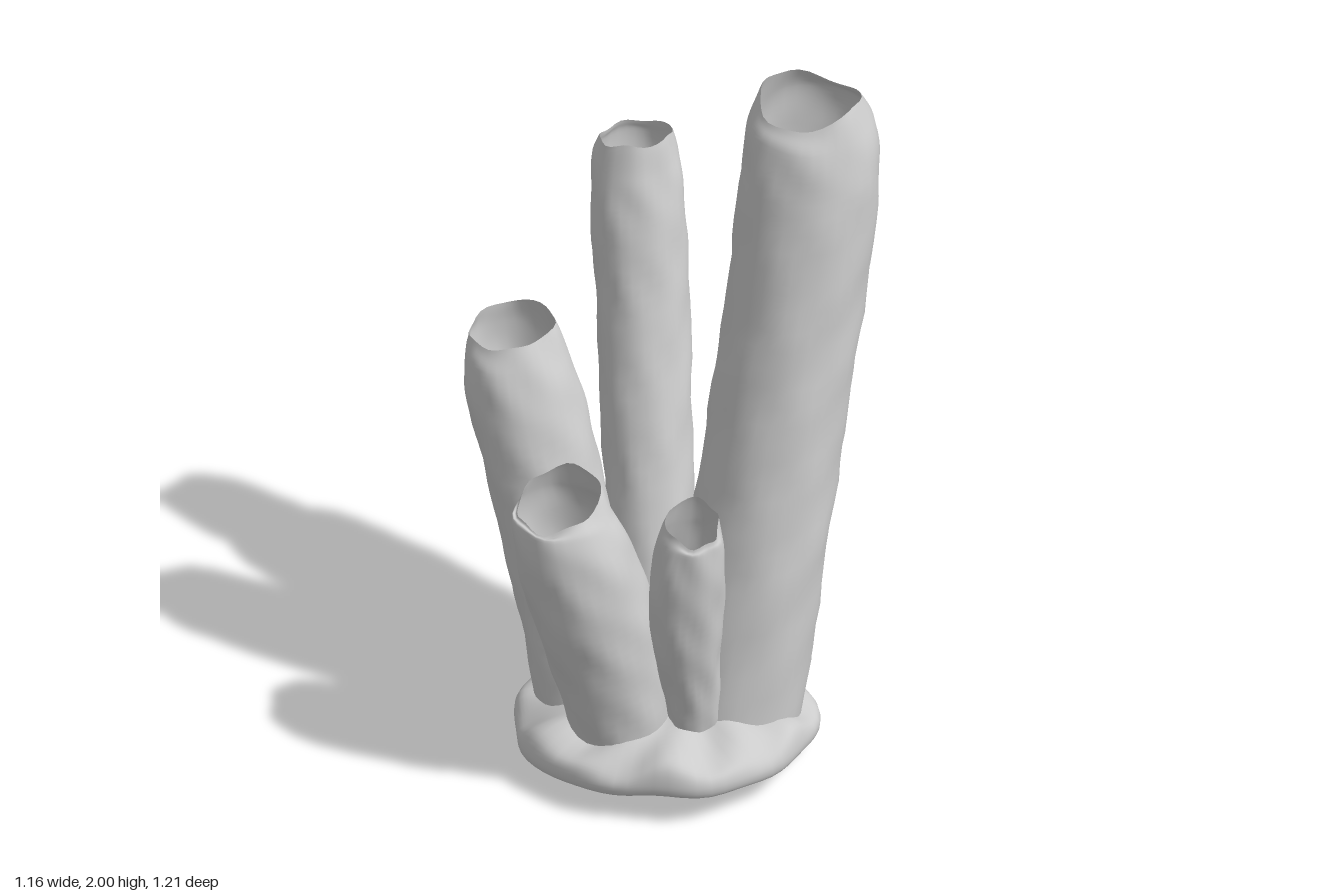
import * as THREE from 'three';

const material = new THREE.MeshStandardMaterial({ color: 0xcccccc, side: THREE.DoubleSide });

// Closed-around surface: point(ring, angle) returns [x, y, z]; rings run from bottom to top.
function ringSurface(name, rings, sides, point) {
  const positions = [], index = [];
  for (let i = 0; i < rings; i++) {
    for (let j = 0; j < sides; j++) {
      positions.push(...point(i, (j / sides) * Math.PI * 2));
      if (i === rings - 1) continue;
      const a = i * sides + j, b = i * sides + ((j + 1) % sides);
      index.push(a, a + sides, b, b, a + sides, b + sides);
    }
  }
  const geometry = new THREE.BufferGeometry();
  geometry.setAttribute('position', new THREE.Float32BufferAttribute(positions, 3));
  geometry.setIndex(index);
  geometry.computeVertexNormals();
  const mesh = new THREE.Mesh(geometry, material);
  mesh.name = name;
  return mesh;
}

// Smooth organic lumps from a few sine waves
const lumps = (a, y, seed) =>
  0.35 * Math.sin(3 * a + 5 * y + seed) * Math.sin(9 * y + seed * 2) +
  0.25 * Math.sin(7 * a - 11 * y + seed * 3) +
  0.25 * Math.sin(4 * a + 23 * y + seed) +
  0.2 * Math.sin(5 * a - 37 * y + seed * 5);

// Hollow leaning tube. path: [x, y, z, radius] from foot to shoulder to mouth.
// rim: [height of waves, direction of the tallest lip, number of peaks]
function tube(name, path, [height, peak, peaks], seed) {
  const centre = new THREE.CatmullRomCurve3(path.map(p => new THREE.Vector3(p[0], p[1], p[2])));
  const radius = new THREE.CatmullRomCurve3(path.map(p => new THREE.Vector3(p[3], p[1], 0)));
  const rings = 44, last = path.length - 1;
  return ringSurface(name, rings, 32, (i, a) => {
    const t = i / (rings - 1);
    const c = centre.getPoint(t);
    const r = radius.getPoint(t).x + 0.008 * lumps(a, c.y, seed);
    const lip = THREE.MathUtils.smoothstep(t * last, last - 1, last);
    const wave = Math.cos(peaks * (a - peak)) + 0.2 * Math.cos(5 * a + seed);
    return [c.x + r * Math.cos(a), c.y + lip * height * wave, c.z + r * Math.sin(a)];
  });
}

export function createModel() {
  const group = new THREE.Group();
  group.name = 'tubeSponge';

  group.add(
    tube('tallTube', [
      [0.075, 0.07, 0.23, 0.21], [0.168, 0.55, 0.178, 0.2], [0.245, 0.95, 0.108, 0.197],
      [0.32, 1.35, 0.035, 0.197], [0.383, 1.75, -0.036, 0.197], [0.393, 1.9, -0.06, 0.178],
      [0.393, 1.972, -0.07, 0.143],
    ], [0.025, 0.8, 2], 1),
    tube('backTube', [
      [-0.065, 0.04, 0, 0.125], [-0.052, 0.5, -0.15, 0.125], [-0.037, 0.85, -0.27, 0.13],
      [-0.025, 1.2, -0.385, 0.133], [-0.02, 1.45, -0.457, 0.133], [-0.018, 1.56, -0.484, 0.122],
      [-0.015, 1.628, -0.498, 0.102],
    ], [0.026, 1.4, 1], 2.3),
    tube('backRightTube', [
      [-0.262, 0.06, 0.08, 0.158], [-0.31, 0.4, -0.02, 0.16], [-0.36, 0.72, -0.112, 0.163],
      [-0.408, 1.0, -0.19, 0.165], [-0.425, 1.13, -0.225, 0.147], [-0.432, 1.205, -0.248, 0.12],
    ], [0.02, 0.2, 1], 3.7),
    tube('frontRightTube', [
      [-0.22, 0.07, 0.275, 0.14], [-0.27, 0.35, 0.275, 0.16], [-0.33, 0.6, 0.27, 0.176],
      [-0.377, 0.8, 0.264, 0.164], [-0.4, 0.89, 0.257, 0.143], [-0.41, 0.94, 0.252, 0.117],
    ], [0.045, -0.6, 1], 4.9),
    tube('smallFrontTube', [
      [-0.035, 0.08, 0.35, 0.055], [-0.055, 0.3, 0.365, 0.08], [-0.072, 0.52, 0.378, 0.1],
      [-0.067, 0.72, 0.384, 0.106], [-0.06, 0.84, 0.391, 0.092], [-0.055, 0.9, 0.396, 0.074],
    ], [0.035, -1.5, 1], 6.1),
  );

  // Lumpy, tilted foot, hollow underneath: profile of [radius, height]
  const profile = new THREE.SplineCurve([
    [0.32, 0.1], [0.375, 0.075], [0.41, 0.05], [0.42, 0.08],
    [0.405, 0.12], [0.36, 0.148], [0.29, 0.172], [0.18, 0.2], [0.002, 0.21],
  ].map(p => new THREE.Vector2(...p)));
  const rings = 34;
  group.add(ringSurface('base', rings, 64, (i, a) => {
    const p = profile.getPoint(i / (rings - 1));
    const outline = 1 + 0.03 * Math.cos(2 * (a - 0.5)) + 0.018 * Math.sin(5 * a + 0.5) + 0.012 * Math.sin(9 * a);
    const r = p.x * outline;
    const x = r * Math.cos(a), z = r * Math.sin(a);
    // Lumps rise on the upper side and leave the lower edge nearly flat
    const upper = 0.2 + 0.8 * THREE.MathUtils.smoothstep(p.y, 0.07, 0.14);
    const bump = upper * (p.x / 0.42) * (0.016 * Math.sin(6 * a + 9 * p.x) + 0.013 * Math.sin(11 * a - 14 * p.x));
    return [x - 0.09, Math.max(0, p.y + 0.107 * z + bump), z + 0.18];
  }));

  return group;
}
